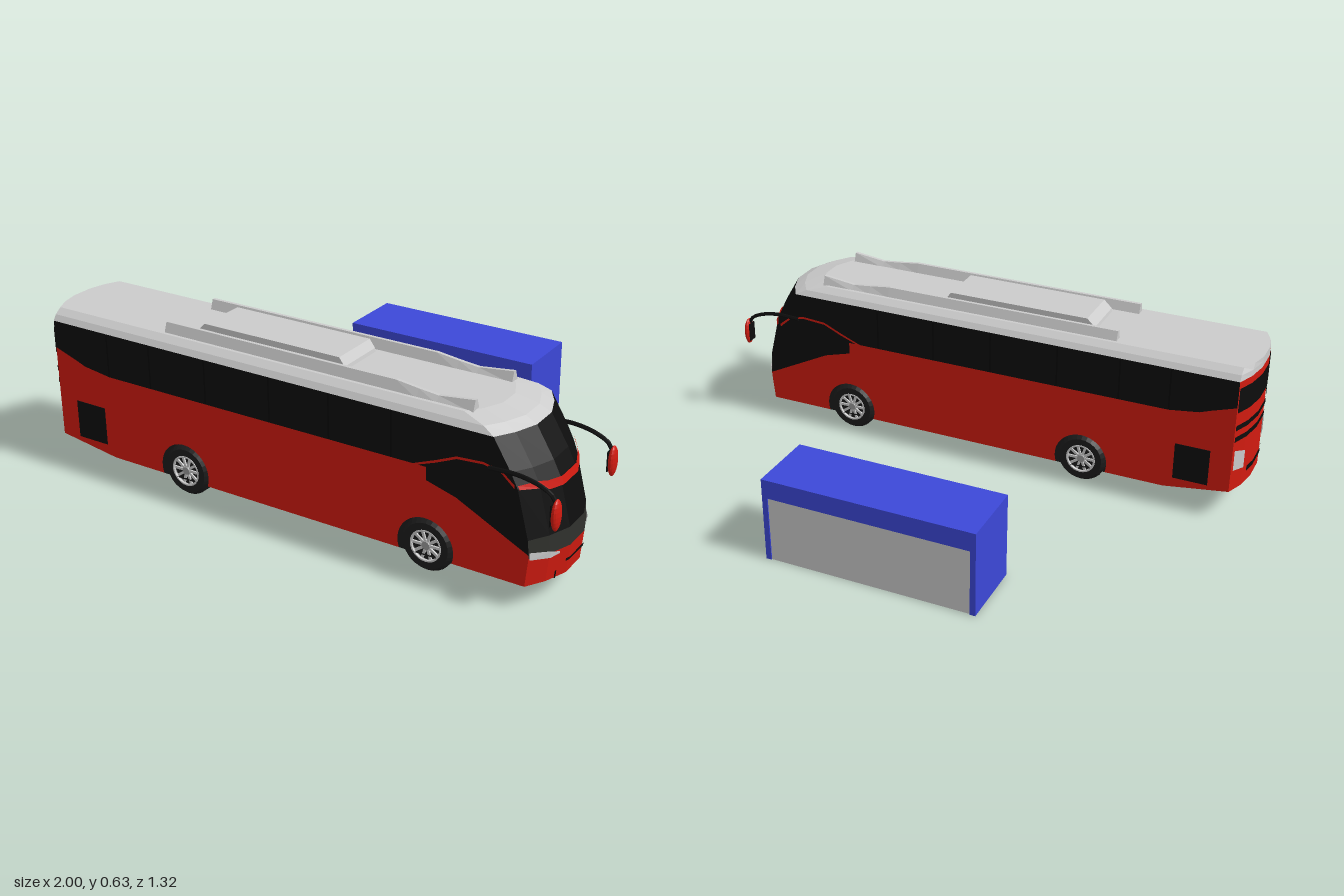
import * as THREE from 'three';

const RED = 0xd21b10, BLACK = 0x0d0d0d, GREY = 0xcccccc, DARK = 0x2f302c, BLUE = 0x3c48d8;
const HW = 0.193; // half width of the coach
const mats = {};
const mat = (c) => (mats[c] ??= new THREE.MeshStandardMaterial({ color: c, flatShading: true, side: THREE.DoubleSide }));

function add(parent, name, geo, color, x = 0, y = 0, z = 0) {
  const m = new THREE.Mesh(geo, mat(color));
  m.name = name;
  m.position.set(x, y, z);
  parent.add(m);
  return m;
}
const box = (parent, name, color, w, h, d, x, y, z) =>
  add(parent, name, new THREE.BoxGeometry(w, h, d), color, x, y, z);

// Sheet of quads between two rows of points
function strip(parent, name, color, a, b) {
  const p = [];
  for (let i = 0; i < a.length - 1; i++) {
    p.push(...a[i], ...a[i + 1], ...b[i + 1], ...a[i], ...b[i + 1], ...b[i]);
  }
  const g = new THREE.BufferGeometry();
  g.setAttribute('position', new THREE.Float32BufferAttribute(p, 3));
  g.computeVertexNormals();
  return add(parent, name, g, color);
}

// Linear lookup in a list of [key, value]
function lookup(table, k) {
  for (let i = 1; i < table.length; i++) {
    const [k0, v0] = table[i - 1], [k1, v1] = table[i];
    if (k <= k1) return v0 + (v1 - v0) * Math.max(0, (k - k0) / (k1 - k0));
  }
  return table[table.length - 1][1];
}
const FRONT = [[0.08, 0.96], [0.18, 0.97], [0.24, 0.965], [0.4, 0.925], [0.45, 0.9], [0.55, 0.84], [0.57, 0.8], [0.588, 0.72]];
const noseX = (z, y) => lookup(FRONT, y) - lookup([[0.05, 0], [0.13, 0.03], [HW, 0.07]], Math.abs(z));
const tailX = (z) => -1 + lookup([[0.05, 0], [0.13, 0.015], [HW, 0.04]], Math.abs(z));
const COLS = [-HW, -0.13, -0.05, 0.05, 0.13, HW];

// Patches lying on the nose or tail; rows are [z, bottom, top]
function nosePatch(parent, name, color, rows, off = 0) {
  const at = (i) => rows.map((r) => [noseX(r[0], r[i]) + off, r[i], r[0]]);
  strip(parent, name, color, at(1), at(2));
}
function tailPatch(parent, name, color, rows, off = 0) {
  const at = (i) => rows.map((r) => [tailX(r[0]) - off, r[i], r[0]]);
  strip(parent, name, color, at(2), at(1));
}
const full = (y0, y1) => COLS.map((z) => [z, y0, y1]);

const shapeOf = (pts) => new THREE.Shape(pts.map(([x, y]) => new THREE.Vector2(x, y)));

function wheel(parent, x, side) {
  const g = new THREE.Group();
  g.name = 'wheel';
  g.position.set(x, 0.112, 0);
  parent.add(g);
  // Twin tyres
  const prof = [[0.05, -0.03], [0.08, -0.036], [0.092, -0.022], [0.092, 0.022], [0.08, 0.036], [0.056, 0.036], [0.052, 0.024], [0, 0.024]];
  const tyre = new THREE.LatheGeometry(prof.map(([r, h]) => new THREE.Vector2(r, h)), 28);
  for (const z of [0.155, 0.075]) {
    add(g, 'tyre', tyre, 0x1c1c1c, 0, 0, side * z).rotation.x = side * Math.PI / 2;
  }
  // Rim with spokes and hub
  const z = side * 0.183;
  add(g, 'rim', new THREE.TorusGeometry(0.053, 0.005, 6, 28), GREY, 0, 0, z + side * 0.005);
  for (let i = 0; i < 10; i++) {
    const a = (i / 10) * Math.PI * 2;
    box(g, 'spoke', GREY, 0.036, 0.009, 0.006, Math.cos(a) * 0.033, Math.sin(a) * 0.033, z).rotation.z = a;
  }
  add(g, 'hub', new THREE.CylinderGeometry(0.014, 0.018, 0.014, 12), 0x999999, 0, 0, z).rotation.x = side * Math.PI / 2;
}

function coachSide(bus, s) {
  // Boundary between red paint and black glass, rear to front
  const edge = [[-0.96, 0.45], [-0.87, 0.42], [-0.83, 0.405], [-0.72, 0.39], [0.545, 0.39], [0.545, 0.345], [0.65, 0.315], [0.9, 0.19]];
  const red = new THREE.Shape();
  red.moveTo(-0.96, 0.115);
  red.lineTo(-0.72, 0.08);
  const a = Math.asin(0.032 / 0.1);
  for (const x of [-0.405, 0.545]) red.absarc(x, 0.112, 0.1, Math.PI + a, -a, true);
  red.lineTo(0.89, 0.08);
  red.lineTo(0.9, 0.18);
  [...edge].reverse().forEach(([x, y]) => red.lineTo(x, y));
  add(bus, 'sidePanel', new THREE.ShapeGeometry(red, 24), RED, 0, 0, s * HW);
  const glass = shapeOf([...edge, [0.895, 0.24], [0.855, 0.4], [0.83, 0.45], [0.77, 0.55], [-0.96, 0.55]]);
  add(bus, 'sideGlass', new THREE.ShapeGeometry(glass), BLACK, 0, 0, s * HW);
  for (const x of [-0.72, -0.535, -0.3, -0.04, 0.19, 0.42]) {
    box(bus, 'windowDivider', 0x050505, 0.005, 0.155, 0.002, x, 0.47, s * HW);
  }
  // Red sweep around the front side window
  const sweep = [[0.5, 0.385, 0.392], [0.58, 0.415, 0.424], [0.65, 0.446, 0.455], [0.74, 0.453, 0.461], [0.8, 0.44, 0.449], [0.845, 0.4, 0.412]];
  strip(bus, 'sideTrim', RED, sweep.map((r) => [r[0], r[1], s * 0.195]), sweep.map((r) => [r[0], r[2], s * 0.195]));
  box(bus, 'engineGrille', BLACK, 0.128, 0.14, 0.004, -0.818, 0.193, s * HW);

  for (const x of [-0.405, 0.545]) wheel(bus, x, s);

  // Mirror on a curved arm
  const path = new THREE.CatmullRomCurve3([[0.76, 0.45], [0.86, 0.452], [0.93, 0.437], [0.97, 0.415], [0.985, 0.385]]
    .map(([x, y]) => new THREE.Vector3(x, y, s * 0.2)));
  add(bus, 'mirrorArm', new THREE.TubeGeometry(path, 14, 0.007, 6), BLACK);
  const head = add(bus, 'mirrorHead', new THREE.SphereGeometry(1, 14, 10), RED, 0.986, 0.358, s * 0.202);
  head.scale.set(0.013, 0.052, 0.027);
  box(bus, 'mirrorGlass', BLACK, 0.004, 0.07, 0.034, 0.974, 0.358, s * 0.202);

  // Headlight and tail lamp
  nosePatch(bus, 'headlight', GREY, [[s * HW, 0.175, 0.2], [s * 0.13, 0.165, 0.188], [s * 0.095, 0.168, 0.175]], 0.004);
  tailPatch(bus, 'tailLamp', GREY, [[s * 0.188, 0.2, 0.28], [s * 0.13, 0.19, 0.26]], 0.004);

  // Roof rail: triangular section following a profile
  const rail = [[-0.5, 0.622], [0.4, 0.622], [0.48, 0.612], [0.55, 0.605], [0.675, 0.62]];
  const row = (dz, top) => rail.map(([x, y]) => [x, top ? y : 0.583, s * 0.125 + dz]);
  const rows = [row(-0.02, false), row(-0.006, true), row(0.006, true), row(0.02, false)];
  for (let i = 0; i < 3; i++) strip(bus, 'roofRail', GREY, rows[i], rows[i + 1]);
  for (const e of [0, rail.length - 1]) {
    strip(bus, 'roofRailEnd', GREY, [rows[0][e], rows[1][e]], [rows[3][e], rows[2][e]]);
  }
}

function coach() {
  const bus = new THREE.Group();
  bus.name = 'coach';

  // Nose bands
  const bands = [[0.08, 0.18, RED, 'frontBumper'], [0.18, 0.24, DARK, 'frontGrille'], [0.24, 0.4, BLACK, 'frontPanel'],
    [0.4, 0.45, BLACK, 'windscreen'], [0.45, 0.55, BLACK, 'windscreen']];
  for (const [y0, y1, c, n] of bands) nosePatch(bus, n, c, full(y0, y1));
  nosePatch(bus, 'brow', RED, [[-HW, 0.4, 0.412], [-0.13, 0.39, 0.412], [-0.1, 0.378, 0.405], [-0.05, 0.376, 0.403],
    [0.05, 0.376, 0.403], [0.1, 0.378, 0.405], [0.13, 0.39, 0.412], [HW, 0.4, 0.412]], 0.006);
  nosePatch(bus, 'bumperSlot', BLACK, [[-0.065, 0.128, 0.138], [-0.05, 0.128, 0.138], [0.05, 0.128, 0.138], [0.065, 0.128, 0.138]], 0.004);
  for (const z of [-0.1, 0.1]) nosePatch(bus, 'bumperSeam', BLACK, [[z - 0.003, 0.08, 0.107], [z + 0.003, 0.08, 0.107]], 0.004);

  // Tail
  tailPatch(bus, 'tailPanel', RED, full(0.115, 0.55));
  tailPatch(bus, 'rearWindow', BLACK, full(0.43, 0.525), 0.003);
  for (const y of [0.315, 0.36]) tailPatch(bus, 'tailSlot', BLACK, full(y, y + 0.02), 0.003);
  tailPatch(bus, 'rearSlot', BLACK, [[-0.1, 0.16, 0.18], [-0.05, 0.16, 0.18], [0.05, 0.16, 0.18], [0.1, 0.16, 0.18]], 0.003);

  // Floor
  const floor = [[-1, 0.115, 0.05], [-0.985, 0.115, 0.13], [-0.96, 0.115, HW], [-0.72, 0.08, HW], [0.89, 0.08, HW], [0.93, 0.08, 0.13], [0.96, 0.08, 0.05]];
  strip(bus, 'floor', BLACK, floor.map(([x, y, z]) => [x, y, z]), floor.map(([x, y, z]) => [x, y, -z]));

  // Roof: lofted rings, then a flat cap
  const ring = (y, half) => {
    const nose = COLS.map((z) => [noseX(z, y), y, (z * half) / HW]);
    const tail = [...COLS].reverse().map((z) => [tailX(z), y, (z * half) / HW]);
    return [...nose, ...tail, nose[0]];
  };
  const rings = [ring(0.55, HW), ring(0.57, 0.18), ring(0.588, 0.155)];
  for (let i = 0; i < 2; i++) strip(bus, 'roofEdge', GREY, rings[i], rings[i + 1]);
  const top = rings[2];
  strip(bus, 'roof', GREY, top.slice(0, 6), top.slice(6, 12).reverse());

  // Roof air conditioner with sloped ends
  const unit = new THREE.ExtrudeGeometry(
    shapeOf([[-0.405, 0.58], [0.19, 0.58], [0.185, 0.6], [0.165, 0.628], [-0.37, 0.628], [-0.4, 0.6]]),
    { depth: 0.18, bevelEnabled: false });
  add(bus, 'airConditioner', unit, GREY, 0, 0, -0.09);

  for (const s of [-1, 1]) coachSide(bus, s);
  return bus;
}

function shelter() {
  const g = new THREE.Group();
  g.name = 'shelter';
  const [x0, x1, z0, z1, h] = [-0.385, 0.395, -0.66, -0.405, 0.315];
  const cx = (x0 + x1) / 2, cz = (z0 + z1) / 2, w = x1 - x0, d = z1 - z0;
  box(g, 'shelterRoof', BLUE, w, 0.02, d, cx, h - 0.01, cz);
  for (const x of [x0 + 0.01, x1 - 0.01]) box(g, 'shelterEnd', BLUE, 0.02, h, d, x, h / 2, cz);
  for (const z of [z0 + 0.006, z1 - 0.006]) box(g, 'fascia', BLUE, w, 0.07, 0.012, cx, h - 0.035, z);
  box(g, 'backPanel', GREY, w - 0.04, h - 0.07, 0.008, cx, (h - 0.07) / 2, z0 + 0.008);
  box(g, 'bench', BLUE, 0.33, 0.012, 0.08, cx, 0.061, z0 + 0.052);
  return g;
}

export function createModel() {
  const model = new THREE.Group();
  model.name = 'coachAndShelter';
  const bus = coach();
  bus.position.z = 0.428;
  model.add(bus, shelter());
  return model;
}
